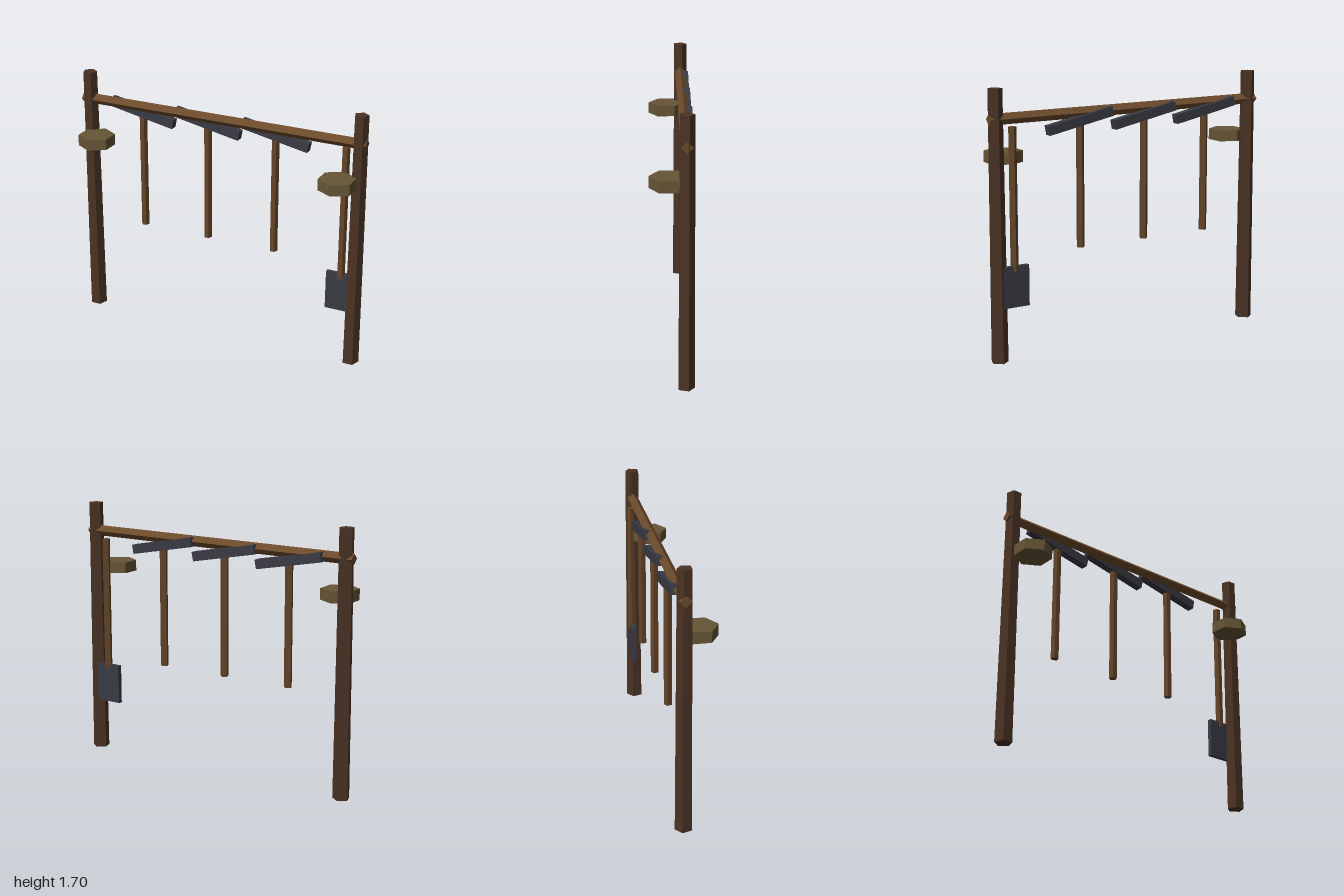
import * as THREE from 'three';

const mat = (color) => new THREE.MeshStandardMaterial({ color, flatShading: true });

export function createModel() {
  const root = new THREE.Group();
  const darkWood = mat(0x4a3324);
  const wood = mat(0x6b4a2b);
  const handleWood = mat(0x644529);
  const shelfWood = mat(0x665636);
  const iron = mat(0x3a3a44);

  const add = (name, geometry, material, x, y, z, parent = root) => {
    const mesh = new THREE.Mesh(geometry, material);
    mesh.name = name;
    mesh.position.set(x, y, z);
    parent.add(mesh);
    return mesh;
  };

  // Tapered five-sided posts, flat side to the front
  const postGeo = new THREE.CylinderGeometry(0.047, 0.0555, 1.7, 5).rotateY(Math.PI);
  add('rightPost', postGeo, darkWood, -0.947, 0.85, -0.081);
  add('leftPost', postGeo, darkWood, 0.947, 0.85, -0.081);

  // Four-sided crossbeam set on edge
  const beamGeo = new THREE.CylinderGeometry(0.035, 0.035, 1.99, 4).rotateZ(Math.PI / 2);
  add('crossbeam', beamGeo, wood, -0.004, 1.514, -0.083);

  // Hexagonal blocks on the front of the posts
  const blockGeo = new THREE.CylinderGeometry(0.12, 0.12, 0.072, 6);
  add('rightBlock', blockGeo, shelfWood, -0.854, 1.269, 0.018);
  add('leftBlock', blockGeo, shelfWood, 0.845, 1.269, 0.018);

  // Five-sided handle spanning two heights
  const addHandle = (parent, bottom, top) => {
    const geo = new THREE.CylinderGeometry(0.026, 0.026, top - bottom, 5).rotateY(Math.PI);
    add('handle', geo, handleWood, 0, (bottom + top) / 2, 0, parent);
  };

  // Three hanging tools with tilted bar heads
  [-0.57, -0.098, 0.376].forEach((x) => {
    const tool = new THREE.Group();
    tool.name = 'hangingTool';
    tool.position.set(x, 0, -0.109);
    addHandle(tool, 0.665, 1.465);
    const head = add('toolHead', new THREE.BoxGeometry(0.468, 0.06, 0.052), iron, 0, 1.467, 0, tool);
    head.rotation.z = -0.194;
    root.add(tool);
  });

  // Shovel hanging beside the left post
  const shovel = new THREE.Group();
  shovel.name = 'shovel';
  shovel.position.set(0.848, 0, -0.108);
  addHandle(shovel, 0.57, 1.466);
  add('shovelBlade', new THREE.BoxGeometry(0.19, 0.26, 0.03), iron, 0, 0.475, 0, shovel);
  root.add(shovel);

  return root;
}
